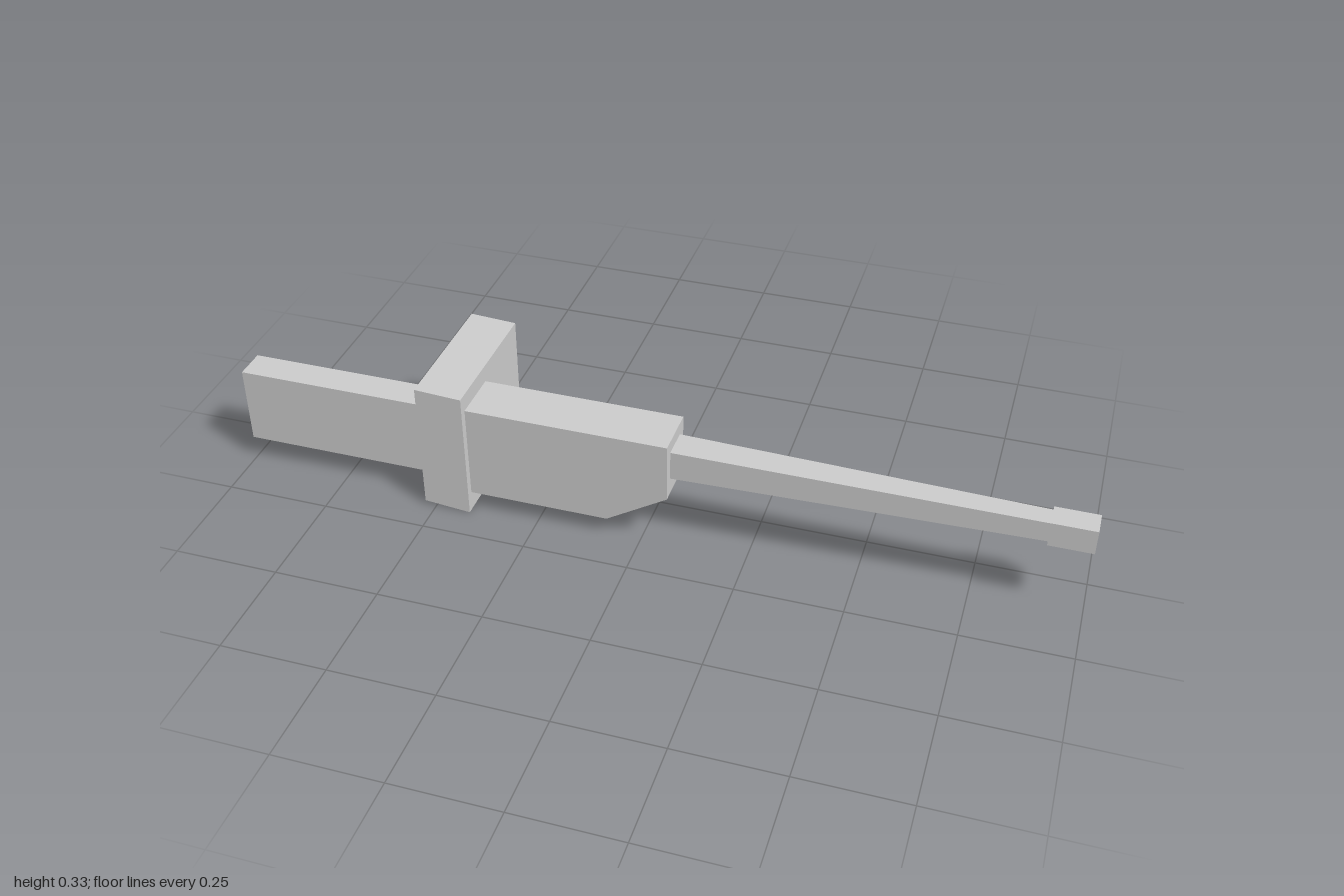
import * as THREE from 'three';

const material = new THREE.MeshStandardMaterial({ color: 0xcccccc, flatShading: true, side: THREE.DoubleSide });

// Box along x; each end is a rectangle [yMin, yMax, zMin, zMax]
function beam(name, x0, x1, start, end = start, openBack = false) {
  const geometry = new THREE.BoxGeometry(1, 1, 1);
  const p = geometry.attributes.position;
  for (let i = 0; i < p.count; i++) {
    const atEnd = p.getX(i) > 0;
    const [yMin, yMax, zMin, zMax] = atEnd ? end : start;
    p.setXYZ(i, atEnd ? x1 : x0, p.getY(i) > 0 ? yMax : yMin, p.getZ(i) > 0 ? zMax : zMin);
  }
  if (openBack) {
    // the -x side is the second group of six indices
    const index = Array.from(geometry.index.array);
    index.splice(6, 6);
    geometry.setIndex(index);
    geometry.clearGroups();
  }
  geometry.computeVertexNormals();
  const mesh = new THREE.Mesh(geometry, material);
  mesh.name = name;
  return mesh;
}

export function createModel() {
  const group = new THREE.Group();
  group.name = 'model';

  // Flat rear bar, running through the hollow crosspiece
  group.add(beam('rearBar', -1, -0.415, [0.06, 0.25, 0.045, 0.122]));

  // Crosspiece: a slightly slanted shell, open towards the rear
  group.add(beam('crosspiece', -0.527, -0.415, [0.01, 0.327, -0.17, 0.17], [0, 0.321, -0.17, 0.17], true));

  // Main body with a sloped lower front
  const profile = new THREE.Shape([
    [-0.417, 0.047], [-0.08, 0.047], [0.065, 0.137], [0.065, 0.28], [-0.417, 0.28],
  ].map(([x, y]) => new THREE.Vector2(x, y)));
  const body = new THREE.Mesh(
    new THREE.ExtrudeGeometry(profile, { depth: 0.126, bevelEnabled: false }).translate(0, 0, 0.026),
    material,
  );
  body.name = 'body';
  group.add(body);

  // Tapered square rod and its end block
  group.add(beam('rod', 0.064, 0.9, [0.178, 0.25, 0.053, 0.127], [0.191, 0.24, 0.065, 0.114]));
  group.add(beam('endBlock', 0.9, 1, [0.185, 0.245, 0.06, 0.12]));

  return group;
}
